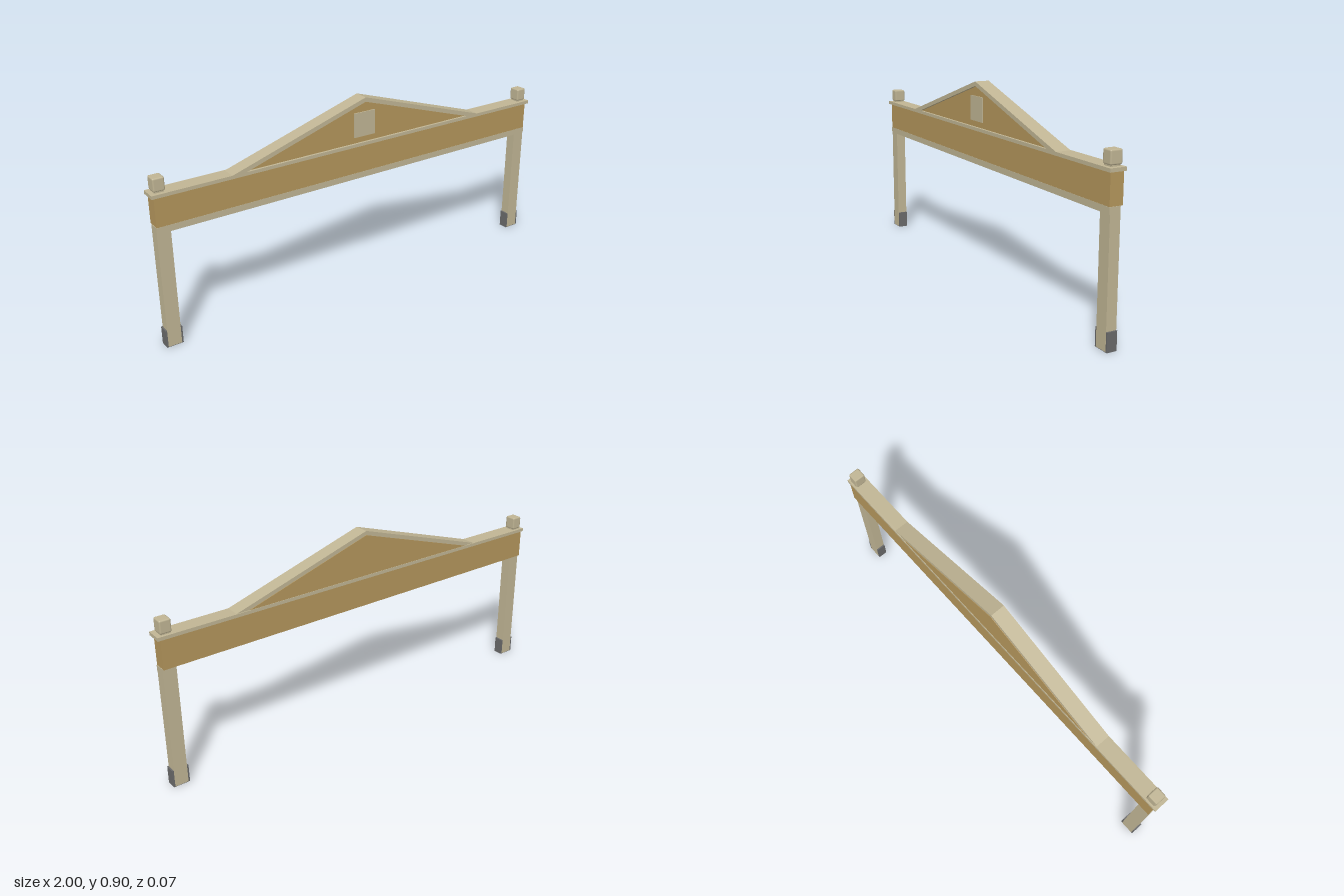
import * as THREE from 'three';
import { RoundedBoxGeometry } from 'three/addons/geometries/RoundedBoxGeometry.js';

const material = (name, color) => {
  const m = new THREE.MeshStandardMaterial({ color });
  m.name = name;
  return m;
};

export function createModel() {
  const stone = material('sandstone', 0xc0b594);
  const ochre = material('ochre', 0xb4965c);
  const iron = material('dark grey', 0x6a6a6a);
  const model = new THREE.Group();
  model.name = 'gateway';

  const add = (name, geometry, mat) => {
    const mesh = new THREE.Mesh(geometry, mat);
    mesh.name = name;
    model.add(mesh);
    return mesh;
  };
  // Box given by its limits on each axis
  const box = (name, mat, x0, x1, y0, y1, z0, z1) => {
    add(name, new THREE.BoxGeometry(x1 - x0, y1 - y0, z1 - z0), mat)
      .position.set((x0 + x1) / 2, (y0 + y1) / 2, (z0 + z1) / 2);
  };
  // Outline in x and y, extruded from z0 to z1
  const slab = (name, mat, points, z0, z1) => {
    const shape = new THREE.Shape(points.map(([x, y]) => new THREE.Vector2(x, y)));
    const geometry = new THREE.ExtrudeGeometry(shape, { depth: z1 - z0, bevelEnabled: false });
    add(name, geometry, mat).position.z = z0;
  };

  // Lintel with its lower front trim and projecting cornice
  box('lintel', ochre, -0.988, 0.988, 0.552, 0.68, -0.033, 0.026);
  box('lintelTrim', stone, -0.99, 0.99, 0.524, 0.552, 0.02, 0.0265);
  box('cornice', stone, -1, 1, 0.68, 0.695, -0.035, 0.037);

  // Pediment: sloping cornice around a recessed panel
  slab('rakingCornice', stone,
    [[-0.655, 0.695], [-0.59, 0.695], [0, 0.88], [0.59, 0.695], [0.655, 0.695], [0, 0.9]],
    -0.031, 0.037);
  slab('pedimentPanel', ochre, [[-0.605, 0.692], [0.605, 0.692], [0, 0.881]], -0.033, 0.026);
  box('plaque', stone, -0.055, 0.055, 0.722, 0.834, 0.025, 0.031);

  // Posts, feet and corner finials
  for (const side of [-1, 1]) {
    const prefix = side > 0 ? 'left' : 'right';
    const x = side * 0.96;
    box(prefix + 'Post', stone, x - 0.03, x + 0.03, 0.002, 0.552, -0.022, 0.024);
    box(prefix + 'Foot', iron, x - 0.037, x + 0.037, 0, 0.08, -0.0215, 0.0235);
    box(prefix + 'FinialNeck', stone, x - 0.02, x + 0.02, 0.695, 0.705, -0.022, 0.02);
    add(prefix + 'Finial', new RoundedBoxGeometry(0.05, 0.058, 0.054, 1, 0.007), stone)
      .position.set(x, 0.729, -0.002);
  }
  return model;
}
